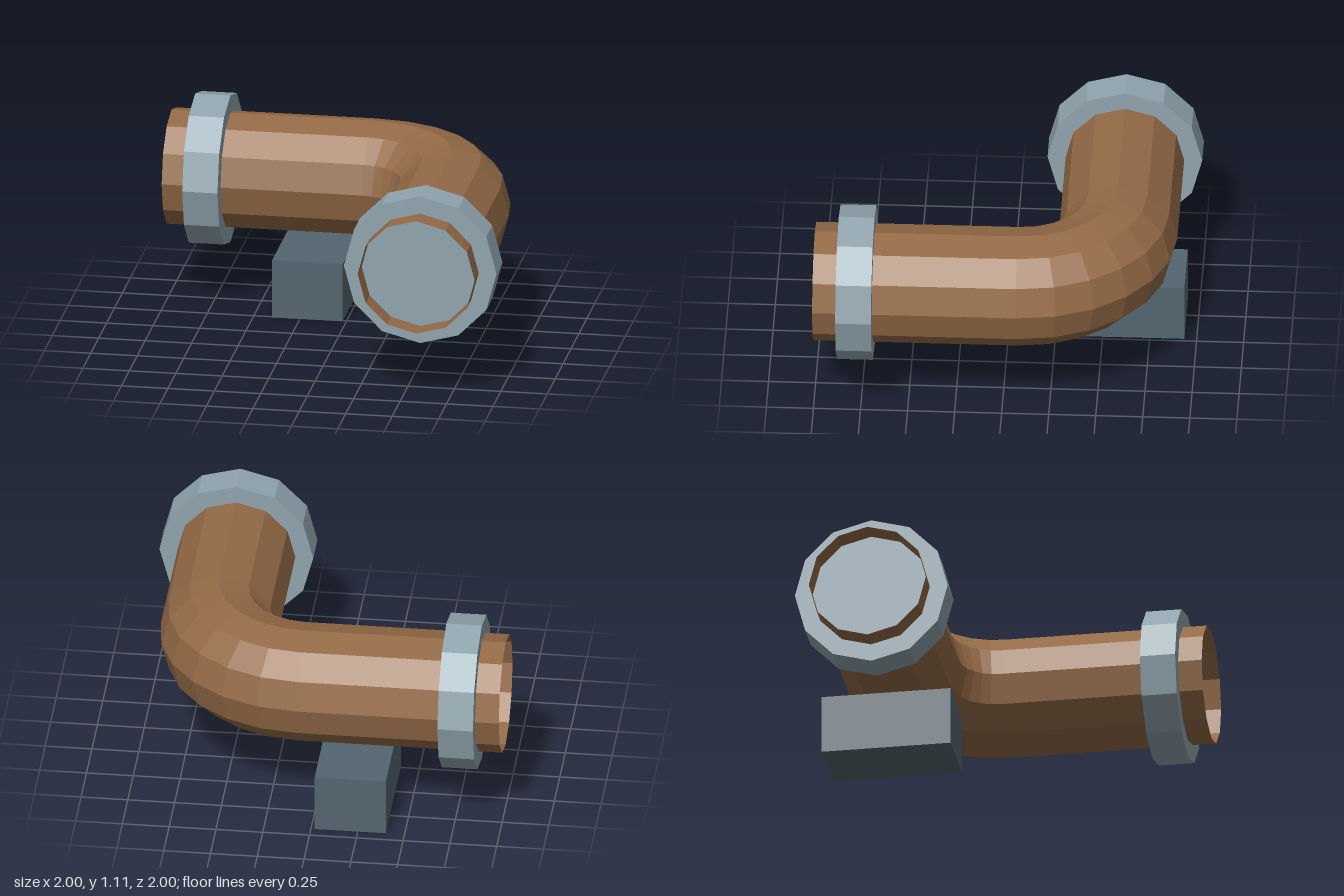
import * as THREE from 'three';

const SIDES = 12;
const AXIS_Y = 0.70;      // height of the pipe's centre line
const OFFSET = 0.587;     // distance of each straight run from the middle
const PIPE_R = 0.315;
const BEND_R = 0.507;
const BEND_STEPS = 6;

// Open pipe: rings swept along a straight run, a quarter bend and a second run
function pipeGeometry() {
  const c = OFFSET - BEND_R; // bend centre is at (c, -c)
  const stations = [{ x: -1, z: -OFFSET, angle: 0 }];
  for (let i = 0; i <= BEND_STEPS; i++) {
    const angle = (i / BEND_STEPS) * Math.PI / 2;
    stations.push({
      x: c + BEND_R * Math.sin(angle),
      z: -c - BEND_R * Math.cos(angle),
      angle,
    });
  }
  stations.push({ x: OFFSET, z: 1, angle: Math.PI / 2 });

  const positions = [];
  const index = [];
  stations.forEach(({ x, z, angle }, i) => {
    for (let j = 0; j < SIDES; j++) {
      const a = (j / SIDES) * Math.PI * 2;
      const out = PIPE_R * Math.cos(a);
      positions.push(
        x + out * Math.sin(angle),
        AXIS_Y + PIPE_R * Math.sin(a),
        z - out * Math.cos(angle),
      );
      if (i < stations.length - 1) {
        const p = i * SIDES + j;
        const q = i * SIDES + (j + 1) % SIDES;
        index.push(p, q, p + SIDES, q, q + SIDES, p + SIDES);
      }
    }
  });

  const geometry = new THREE.BufferGeometry();
  geometry.setAttribute('position', new THREE.Float32BufferAttribute(positions, 3));
  geometry.setIndex(index);
  geometry.computeVertexNormals();
  return geometry;
}

export function createModel() {
  const group = new THREE.Group();
  const copper = new THREE.MeshStandardMaterial({ color: 0x946a46, flatShading: true, side: THREE.DoubleSide });
  const steel = new THREE.MeshStandardMaterial({ color: 0x90a4ae, flatShading: true });
  const darkSteel = new THREE.MeshStandardMaterial({ color: 0x546670, flatShading: true });

  const add = (name, geometry, material, x = 0, y = 0, z = 0) => {
    const mesh = new THREE.Mesh(geometry, material);
    mesh.name = name;
    mesh.position.set(x, y, z);
    group.add(mesh);
    return mesh;
  };

  add('elbowPipe', pipeGeometry(), copper);

  // Solid collars near both ends, closing the pipe just inside its mouths
  const collar = new THREE.CylinderGeometry(0.411, 0.411, 0.19, SIDES);
  add('backCollar', collar, steel, -0.778, AXIS_Y, -OFFSET).rotation.z = Math.PI / 2;
  add('frontCollar', collar, steel, OFFSET, AXIS_Y, 0.778).rotation.x = Math.PI / 2;

  // Support block under the back run
  add('supportBlock', new THREE.BoxGeometry(0.38, 0.32, 0.695), darkSteel, -0.21, 0.16, -OFFSET);

  return group;
}
